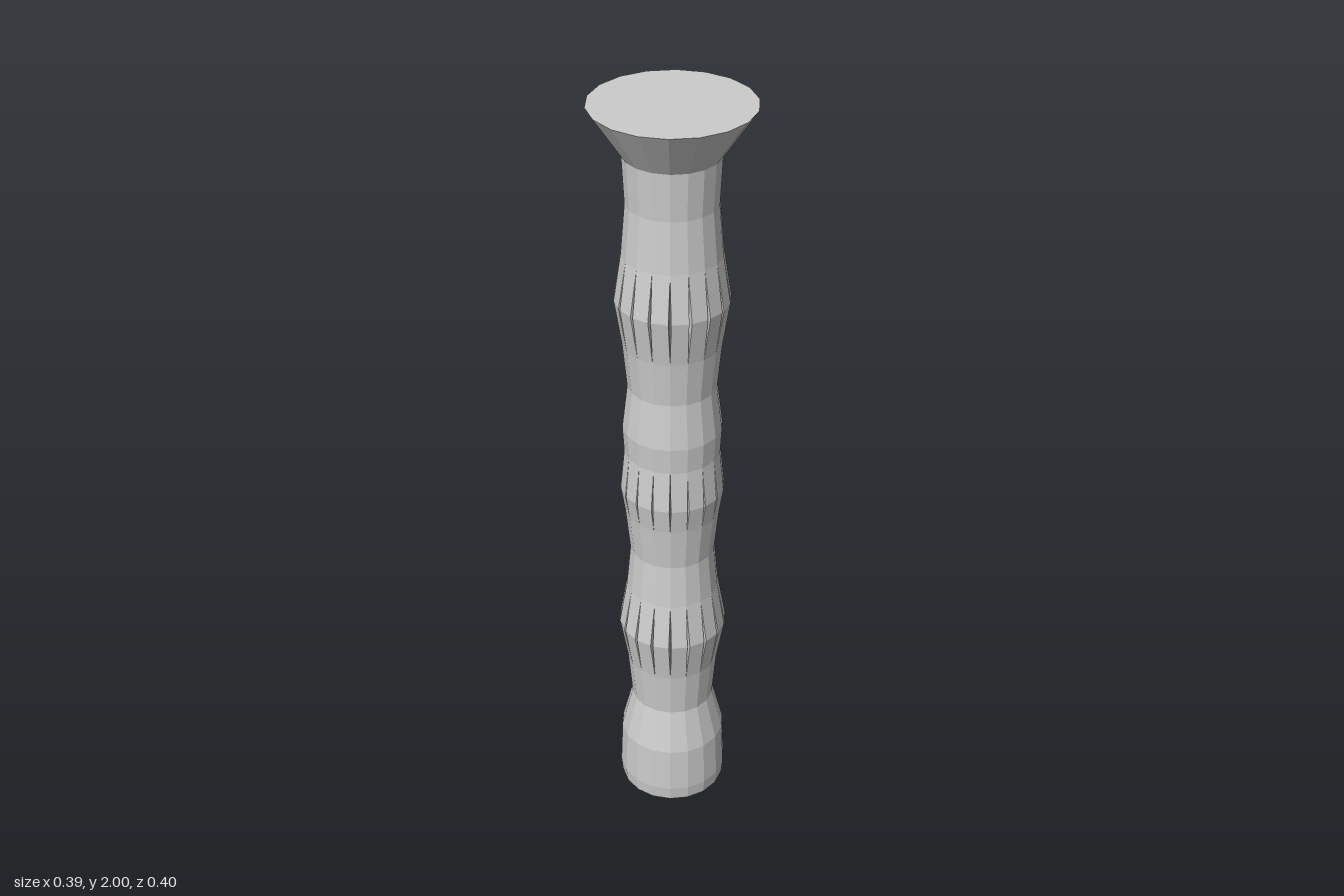
import * as THREE from 'three';

const SIDES = 18;
const STEP = (Math.PI * 2) / SIDES;

// Point on the shaft at a corner angle, optionally pushed out along a facet's normal
function corner(radius, angle, y, push = 0, facing = 0) {
  return [
    radius * Math.sin(angle) + push * Math.sin(facing),
    y,
    radius * Math.cos(angle) + push * Math.cos(facing),
  ];
}

// Ring of separate facets that bulge outward, leaving narrow lens-shaped grooves
function panelBand({ low, mid, high, push }) {
  const positions = [];
  const tri = (...points) => points.forEach((p) => positions.push(...p));

  for (let i = 0; i < SIDES; i++) {
    const a = i * STEP;
    const b = a + STEP;
    const n = a + STEP / 2;
    const lowA = corner(low[0], a, low[1]);
    const lowB = corner(low[0], b, low[1]);
    const highA = corner(high[0], a, high[1]);
    const highB = corner(high[0], b, high[1]);
    const coreA = corner(mid[0], a, mid[1]);
    const coreB = corner(mid[0], b, mid[1]);
    const outA = corner(mid[0], a, mid[1], push, n);
    const outB = corner(mid[0], b, mid[1], push, n);

    // lower and upper slopes
    tri(lowA, lowB, outB);
    tri(lowA, outB, outA);
    tri(outA, outB, highB);
    tri(outA, highB, highA);
    // groove walls
    tri(lowA, outA, coreA);
    tri(coreA, outA, highA);
    tri(lowB, coreB, outB);
    tri(coreB, highB, outB);
  }

  const geometry = new THREE.BufferGeometry();
  geometry.setAttribute('position', new THREE.Float32BufferAttribute(positions, 3));
  geometry.computeVertexNormals();
  return geometry;
}

export function createModel() {
  const group = new THREE.Group();
  group.name = 'column';
  const material = new THREE.MeshStandardMaterial({
    color: 0xcccccc, flatShading: true, side: THREE.DoubleSide,
  });

  // Bands as [radius, height] rings on the shaft
  const bands = {
    lowerPanels: { low: [0.121, 0.42], mid: [0.122, 0.54], high: [0.121, 0.66], push: 0.02 },
    middlePanels: { low: [0.122, 0.9], mid: [0.12, 0.97], high: [0.122, 1.08], push: 0.013 },
    upperPanels: { low: [0.123, 1.39], mid: [0.122, 1.51], high: [0.123, 1.63], push: 0.02 },
  };
  const rings = (band) => [band.low, band.mid, band.high];

  // Closed shaft with swollen foot, waists and flared top
  const profile = [
    [0, 0], [0.141, 0], [0.145, 0.04], [0.14, 0.17], [0.11, 0.29],
    ...rings(bands.lowerPanels),
    [0.11, 0.78],
    ...rings(bands.middlePanels),
    [0.126, 1.15], [0.112, 1.27],
    ...rings(bands.upperPanels),
    [0.112, 1.76], [0.118, 1.88], [0.198, 2], [0, 2],
  ].map(([r, y]) => new THREE.Vector2(r, y));
  const shaft = new THREE.Mesh(new THREE.LatheGeometry(profile, SIDES), material);
  shaft.name = 'shaft';
  group.add(shaft);

  // Raised panel bands
  for (const [name, band] of Object.entries(bands)) {
    const mesh = new THREE.Mesh(panelBand(band), material);
    mesh.name = name;
    group.add(mesh);
  }

  return group;
}
